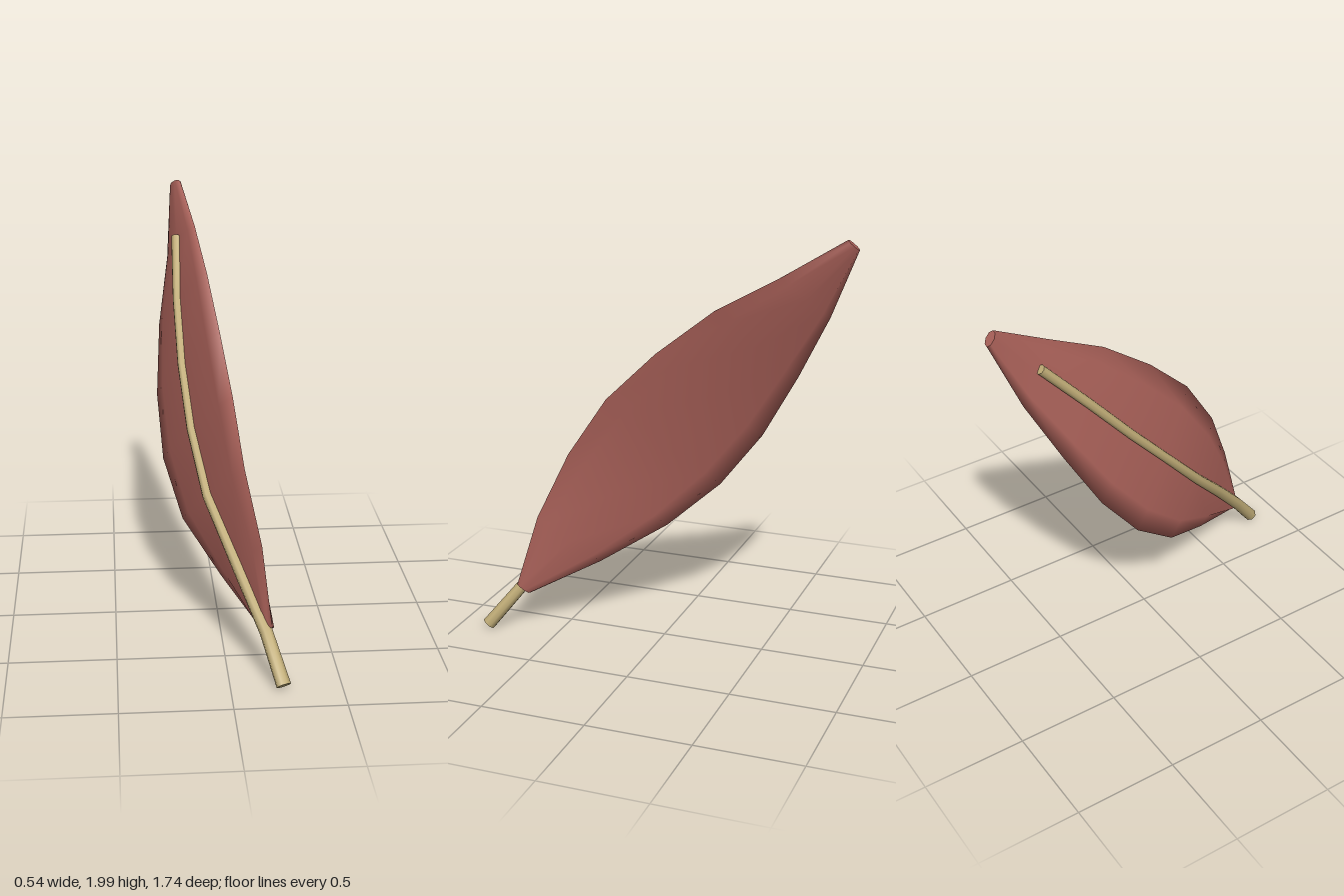
import * as THREE from 'three';

const SIDES = 8;
const bladeRed = new THREE.MeshStandardMaterial({ color: 0xa86058 });
bladeRed.name = 'bladeRed';
const ribTan = new THREE.MeshStandardMaterial({ color: 0xc2ae78 });
ribTan.name = 'ribTan';

// The blade is spread along one fixed direction, from its lower to its upper edge.
const across = new THREE.Vector3(0.41, 0.63, 0.65).normalize();

// Unit axes of a cross-section: u over the width, n towards the ribbed face.
function axes(points, i) {
  const t = points[Math.min(i + 1, points.length - 1)].clone()
    .sub(points[Math.max(i - 1, 0)]).normalize();
  const u = across.clone().addScaledVector(t, -across.dot(t)).normalize();
  return { u, n: new THREE.Vector3().crossVectors(u, t) };
}

// Closed loft of elliptical sections; the ends get flat caps.
function loft(points, halfWidth, halfDepth, keepAcross) {
  const pos = [], index = [];
  const ring = (i) => {
    const { u, n } = axes(points, i);
    const side = keepAcross ? across : u;
    const first = pos.length / 3;
    for (let j = 0; j < SIDES; j++) {
      const a = (j / SIDES) * Math.PI * 2;
      const p = points[i].clone()
        .addScaledVector(side, Math.cos(a) * halfWidth(i))
        .addScaledVector(n, Math.sin(a) * halfDepth(i));
      pos.push(p.x, p.y, p.z);
    }
    return first;
  };
  const last = points.length - 1;
  for (let i = 0; i <= last; i++) ring(i);
  for (let i = 0; i < last; i++) {
    for (let j = 0; j < SIDES; j++) {
      const k = (j + 1) % SIDES;
      const a = i * SIDES + j, b = i * SIDES + k;
      index.push(a, a + SIDES, b, b, a + SIDES, b + SIDES);
    }
  }
  const start = ring(0), end = ring(last);
  for (let j = 1; j < SIDES - 1; j++) {
    index.push(start, start + j, start + j + 1);
    index.push(end, end + j + 1, end + j);
  }
  const geo = new THREE.BufferGeometry();
  geo.setAttribute('position', new THREE.Float32BufferAttribute(pos, 3));
  geo.setIndex(index);
  geo.computeVertexNormals();
  return geo;
}

function addMesh(group, name, geometry, material) {
  const mesh = new THREE.Mesh(geometry, material);
  mesh.name = name;
  group.add(mesh);
}

export function createModel() {
  const group = new THREE.Group();
  group.name = 'leaf';

  // Centre line of the blade from base to tip, with its half widths
  const spine = [
    [0.18, 0.215, 0.675], [0.075, 0.465, 0.47], [-0.04, 0.71, 0.255],
    [-0.10, 0.96, 0.04], [-0.13, 1.21, -0.18], [-0.14, 1.475, -0.405],
    [-0.135, 1.715, -0.635], [-0.15, 1.968, -0.845],
  ].map((p) => new THREE.Vector3(...p));
  const widths = [0.04, 0.2, 0.315, 0.365, 0.34, 0.265, 0.155, 0.037];
  addMesh(group, 'blade', loft(spine, (i) => widths[i], () => 0.024, true), bladeRed);

  // Stem that runs on as a raised midrib and stops short of the tip
  const rib = [new THREE.Vector3(0.235, 0.023, 0.845), new THREE.Vector3(0.17, 0.215, 0.695)];
  for (let i = 1; i < 7; i++) {
    rib.push(spine[i].clone().addScaledVector(axes(spine, i).n, 0.028));
  }
  rib[7].y += 0.02;
  const radius = (i) => Math.max(0.034 - i * 0.003, 0.023);
  addMesh(group, 'stemAndMidrib', loft(rib, radius, radius, false), ribTan);

  return group;
}
